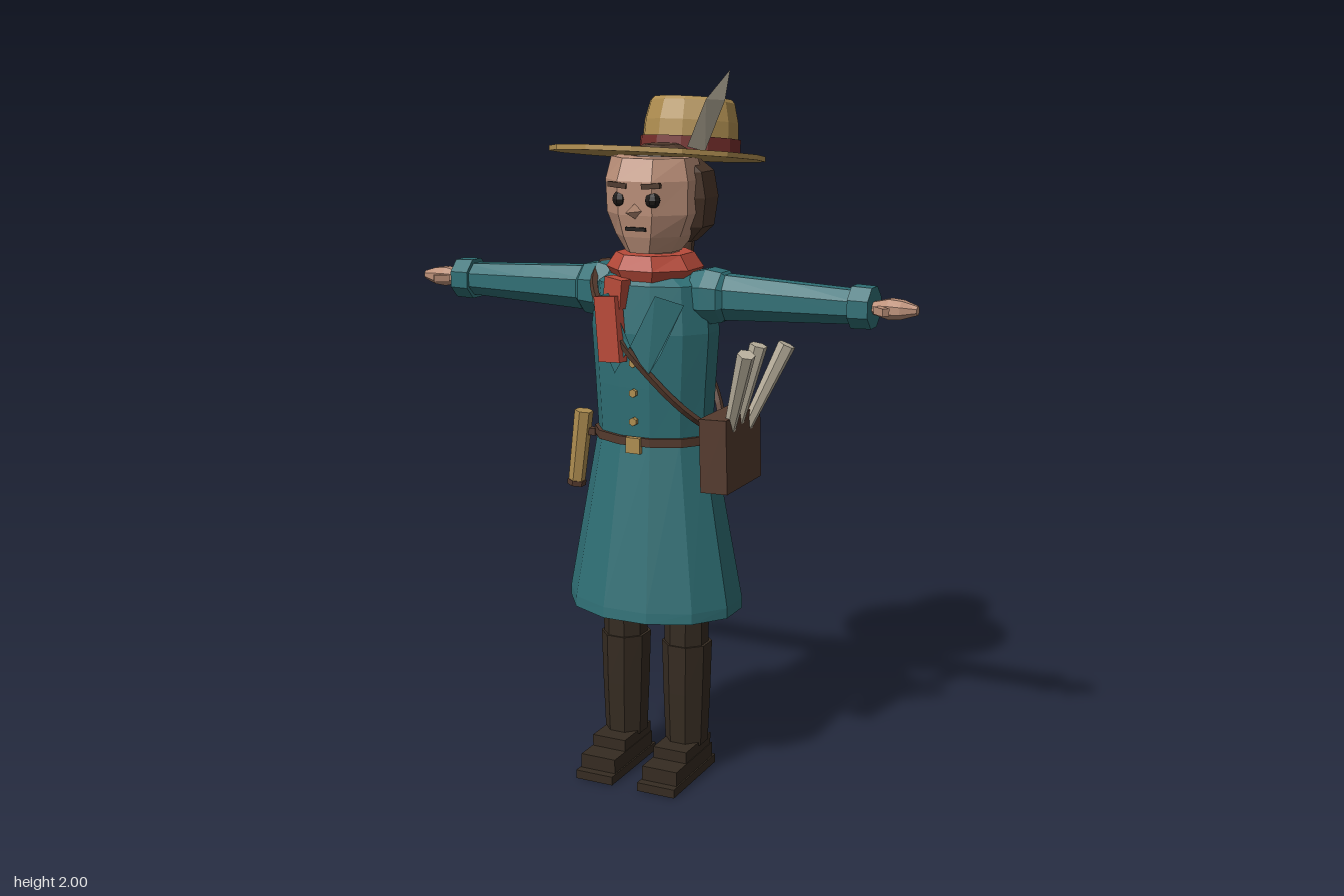
import * as THREE from 'three';

const mat = (name, color, extra = {}) => {
  const m = new THREE.MeshStandardMaterial({ color, flatShading: true, ...extra });
  m.name = name;
  return m;
};
const both = { side: THREE.DoubleSide };

// Loft of rings [y, rx, rz, cz] listed from top to bottom; flat sides face x and z
function loft(rings, n = 8, open = false) {
  const m = rings.length - 1, k = 1 / Math.cos(Math.PI / n);
  const geo = new THREE.CylinderGeometry(1, 1, 1, n, m, open, Math.PI / n);
  const p = geo.attributes.position;
  for (let i = 0; i < p.count; i++) {
    const [y, rx, rz = rx, cz = 0] = rings[Math.round((0.5 - p.getY(i)) * m)];
    p.setXYZ(i, p.getX(i) * rx * k, y, p.getZ(i) * rz * k + cz);
  }
  geo.computeVertexNormals();
  return geo;
}

export function createModel() {
  const root = new THREE.Group();
  const coat = mat('coat teal', 0x2f6f75, both);
  const straw = mat('straw gold', 0xae8d50);
  const red = mat('scarf red', 0xb84b3a);
  const skin = mat('skin', 0xbd917a);
  const hair = mat('hair brown', 0x4d382b);
  const boot = mat('boot brown', 0x352b21);
  const band = mat('band maroon', 0x742e2b);
  const leather = mat('leather brown', 0x543a2d);
  const quill = mat('quill grey', 0xb9b09d, both);
  const black = mat('black', 0x1c1917);

  const add = (name, geo, m, pos = [0, 0, 0], rot = [0, 0, 0], parent = root) => {
    const mesh = new THREE.Mesh(geo, m);
    mesh.name = name;
    mesh.position.set(...pos);
    mesh.rotation.set(...rot);
    parent.add(mesh);
    return mesh;
  };
  const box = (x, y, z) => new THREE.BoxGeometry(x, y, z);

  // Rod with its ends at two given points
  const rod = (name, a, b, ra, rb, m) => {
    const A = new THREE.Vector3(...a), B = new THREE.Vector3(...b), d = B.clone().sub(A);
    const mesh = add(name, new THREE.CylinderGeometry(rb, ra, d.length(), 6), m);
    mesh.position.copy(A).add(B).multiplyScalar(0.5);
    mesh.quaternion.setFromUnitVectors(new THREE.Vector3(0, 1, 0), d.normalize());
  };

  // Coat
  add('coatBody', loft([[1.46, 0.1, 0.09, 0.04], [1.43, 0.165, 0.122, 0.04], [1.3, 0.18, 0.135, 0.04],
    [1.15, 0.17, 0.13, 0.04], [1.0, 0.162, 0.122, 0.04]], 12), coat);
  add('coatSkirt', loft([[1.0, 0.164, 0.124, 0.04], [0.53, 0.248, 0.195, 0.038], [0.5, 0.248, 0.198, 0.038]], 12, true), coat);
  add('belt', loft([[1.012, 0.173, 0.133, 0.04], [0.988, 0.173, 0.133, 0.04]], 12), leather);
  add('buckle', box(0.044, 0.044, 0.014), straw, [0, 0.99, 0.174]);
  for (const y of [1.22, 1.137, 1.057])
    add('button', new THREE.CylinderGeometry(0.012, 0.012, 0.014, 6), straw, [0, y, 0.174], [Math.PI / 2, 0, 0]);

  // Lapels bent around the chest
  for (const s of [1, -1]) {
    const shape = new THREE.Shape([[0.0, 1.27], [0.07, 1.41], [0.14, 1.385], [0.085, 1.25], [0.05, 1.19]]
      .map(([x, y]) => new THREE.Vector2(s * x, y)));
    const geo = new THREE.ShapeGeometry(shape), p = geo.attributes.position;
    for (let i = 0; i < p.count; i++)
      p.setZ(i, 0.058 + 0.135 * Math.sqrt(1 - (p.getX(i) / 0.19) ** 2));
    add('lapel', geo, coat);
  }

  // Neck and scarf
  add('neck', loft([[1.56, 0.06], [1.42, 0.06]]), skin, [0, 0, 0.035]);
  add('scarf', loft([[1.51, 0.098, 0.108, 0.04], [1.47, 0.125, 0.123, 0.04], [1.415, 0.088, 0.1, 0.04]]), red);
  add('scarfKnot', box(0.065, 0.08, 0.035), red, [-0.055, 1.41, 0.165], [0, -0.3, -0.1]);
  add('scarfTail', box(0.08, 0.18, 0.03), red, [-0.068, 1.31, 0.178], [0, -0.3, 0.1]);

  // Head
  add('head', loft([[1.77, 0.11, 0.1, 0.045], [1.71, 0.124, 0.125, 0.042], [1.62, 0.122, 0.122, 0.04],
    [1.56, 0.098, 0.11, 0.04], [1.515, 0.068, 0.085, 0.05]]), skin);
  add('nose', new THREE.ConeGeometry(0.026, 0.07, 4), skin, [0, 1.632, 0.183], [Math.PI / 2, 0, 0]);
  add('mouth', box(0.06, 0.01, 0.008), black, [0, 1.583, 0.158]);
  for (const s of [1, -1]) {
    add('eye', new THREE.SphereGeometry(0.022, 8, 6), black, [s * 0.049, 1.662, 0.153]);
    add('eyebrow', box(0.055, 0.014, 0.012), hair, [s * 0.05, 1.7, 0.165], [0, 0, s * 0.08]);
  }
  add('hair', loft([[1.8, 0.045, 0.045, 0], [1.778, 0.08, 0.075, 0], [1.73, 0.135, 0.1, -0.01],
    [1.66, 0.147, 0.104, -0.012], [1.58, 0.133, 0.092, -0.02], [1.535, 0.085, 0.06, -0.03]]), hair);
  add('ponytail', loft([[1.72, 0.02, 0.015, -0.1], [1.66, 0.045, 0.03, -0.112], [1.55, 0.04, 0.022, -0.125],
    [1.45, 0.03, 0.022, -0.132], [1.385, 0.02, 0.02, -0.128]]), hair);

  // Hat, its crown set well back on the tilted brim
  const hat = new THREE.Group();
  hat.name = 'hat';
  hat.position.set(0, 1.775, 0.027);
  hat.rotation.x = -0.12;
  root.add(hat);
  add('brim', new THREE.CylinderGeometry(0.295, 0.295, 0.014, 14, 1, false, Math.PI / 14), straw, [0, 0, 0], [0, 0, 0], hat);
  add('crown', loft([[0.165, 0.108], [0.155, 0.117], [0.1, 0.13], [0, 0.135]], 12), straw, [0, 0, -0.207], [0, 0, 0], hat);
  add('hatBand', loft([[0.055, 0.139], [-0.002, 0.141]], 12), band, [0, 0, -0.207], [0, 0, 0], hat);

  // Feather, a bent blade
  const feather = new THREE.BufferGeometry();
  feather.setAttribute('position', new THREE.Float32BufferAttribute([
    0.11, 1.8, 0.07, 0.14, 1.785, 0.02, 0.155, 1.925, 0.048, 0.18, 1.92, -0.02, 0.183, 2.0, -0.045], 3));
  feather.setIndex([0, 1, 2, 1, 3, 2, 2, 3, 4]);
  feather.computeVertexNormals();
  add('feather', feather, quill);

  // Arms are built upwards, then turned out to each side
  for (const s of [1, -1]) {
    const arm = new THREE.Group();
    arm.name = s > 0 ? 'leftArm' : 'rightArm';
    arm.position.set(0, 1.398, 0.035);
    arm.rotation.z = -s * Math.PI / 2;
    root.add(arm);
    const part = (name, geo, m, pos, rot) => add(name, geo, m, pos, rot, arm);
    part('shoulder', loft([[0.235, 0.045], [0.21, 0.068], [0.165, 0.075], [0.125, 0.066], [0.1, 0.04]]), coat);
    part('sleeve', loft([[0.6, 0.044, 0.046], [0.4, 0.053, 0.05], [0.18, 0.063, 0.056]]), coat);
    part('cuff', loft([[0.636, 0.054], [0.58, 0.056]]), coat);
    part('hand', loft([[0.755, 0.012, 0.012], [0.715, 0.024, 0.032], [0.68, 0.027, 0.034], [0.63, 0.015, 0.018]]), skin);
    part('thumb', box(0.02, 0.045, 0.02), skin, [0, 0.672, 0.048], [0.7, 0, 0]);
  }

  // Legs and boots
  for (const s of [1, -1]) {
    const x = s * 0.098;
    add('leg', loft([[0.8, 0.06], [0.36, 0.058, 0.06]]), boot, [x, 0, 0.037]);
    add('bootShaft', loft([[0.395, 0.066, 0.068], [0.25, 0.062, 0.066], [0.09, 0.056, 0.06]]), boot, [x, 0, 0.034]);
    add('bootSole', box(0.116, 0.025, 0.28), boot, [x, 0.0125, 0.1]);
    add('bootToe', box(0.108, 0.045, 0.24), boot, [x, 0.044, 0.095]);
    add('bootInstep', box(0.104, 0.04, 0.165), boot, [x, 0.08, 0.065]);
  }

  // Shoulder strap, quiver and shafts
  const path = new THREE.CatmullRomCurve3([[-0.15, 1.42, 0.12], [-0.06, 1.31, 0.182], [0.06, 1.18, 0.178], [0.15, 1.08, 0.128],
    [0.2, 1.03, 0.06], [0.18, 1.06, -0.01], [0.1, 1.17, -0.087], [0, 1.28, -0.105], [-0.1, 1.38, -0.092], [-0.17, 1.47, 0.01]]
    .map((v) => new THREE.Vector3(...v)), true);
  add('strap', new THREE.TubeGeometry(path, 40, 0.011, 4, true), leather);
  add('quiver', box(0.08, 0.205, 0.235), leather, [0.232, 0.978, 0.04], [0, 0, 0.03]);
  rod('shaft', [0.235, 0.98, -0.005], [0.36, 1.265, -0.045], 0.014, 0.025, quill);
  rod('shaft', [0.235, 0.98, 0.045], [0.315, 1.275, 0.047], 0.014, 0.025, quill);
  rod('shaft', [0.235, 0.98, 0.085], [0.33, 1.27, 0.165], 0.014, 0.025, quill);

  // Scroll case on the hip
  rod('scrollCase', [-0.232, 0.84, 0.08], [-0.206, 1.05, 0.08], 0.024, 0.027, straw);
  rod('scrollEnd', [-0.233, 0.83, 0.08], [-0.231, 0.845, 0.08], 0.027, 0.027, leather);
  add('scrollLoop', box(0.04, 0.02, 0.025), leather, [-0.19, 0.99, 0.07]);

  return root;
}
